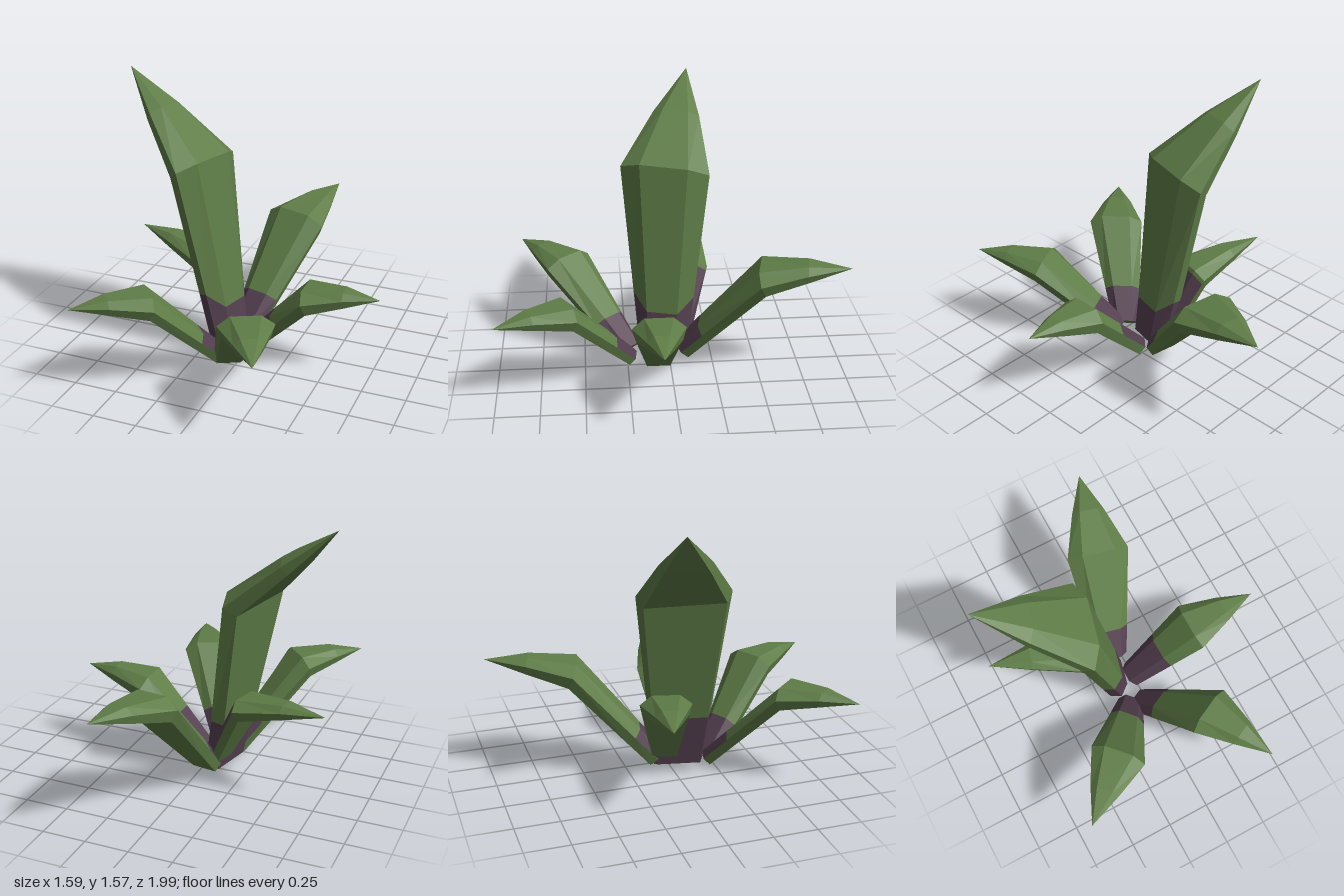
import * as THREE from 'three';

const green = new THREE.MeshStandardMaterial({ color: 0x5f7d47, flatShading: true });
green.name = 'leafGreen';
const purple = new THREE.MeshStandardMaterial({ color: 0x543f50, flatShading: true });
purple.name = 'basePurple';

// Six-sided leaf section: [across in widths, up in thicknesses]; facets 0-2 form the upper side
const SECTION = [[0.5, 0], [0.27, 0.45], [-0.27, 0.45], [-0.5, 0], [-0.43, -0.55], [0.43, -0.55]];

// base, bend and tip are centre points; w and t are widths and thickness;
// stain is how far purple climbs the stem: [middle of upper side, edges]
const LEAVES = [
  { name: 'tallLeaf', base: [-0.1, 0.07, 0.035], bend: [-0.27, 1.115, 0.01], tip: [-0.8, 1.57, -0.16], w: [0.29, 0.52], t: 0.15, roll: 0.08, stain: [0.2, 0.3], allRound: true },
  { name: 'leftLeaf', base: [-0.015, 0.04, 0.07], bend: [0.38, 0.45, 0.09], tip: [0.79, 0.49, 0.09], w: [0.16, 0.3], t: 0.125, roll: 0, stain: [0.53, 0.53] },
  { name: 'frontLeftLeaf', base: [-0.045, 0.055, 0.24], bend: [0.21, 0.485, 0.6], tip: [0.4, 0.49, 0.99], w: [0.16, 0.31], t: 0.11, roll: 0, stain: [0.33, 0.33] },
  { name: 'frontRightLeaf', base: [-0.1, 0.06, 0.235], bend: [-0.375, 0.515, 0.585], tip: [-0.69, 0.53, 0.87], w: [0.16, 0.32], t: 0.11, roll: 0, stain: [0.33, 0.33] },
  { name: 'backLeaf', base: [-0.06, 0.09, -0.08], bend: [0.085, 0.618, -0.525], tip: [0.21, 0.685, -1], w: [0.18, 0.37], t: 0.125, roll: 0.06, stain: [0.27, 0.27] },
  { name: 'rightLeaf', base: [-0.08, 0.07, -0.04], bend: [-0.3, 0.5, -0.1], tip: [-0.79, 0.56, -0.22], w: [0.14, 0.29], t: 0.11, roll: 0, stain: [0.95, 0.95] },
];

const UP = new THREE.Vector3(0, 1, 0);
const pitchOf = (d) => Math.atan2(d.y, Math.hypot(d.x, d.z));

function makeLeaf({ name, base, bend, tip, w, t, roll, stain, allRound }) {
  const [b, m, e] = [base, bend, tip].map((p) => new THREE.Vector3(...p));
  const blade = e.clone().sub(m);
  const forward = new THREE.Vector3(blade.x, 0, blade.z).normalize();
  const level = UP.clone().cross(forward);
  const stemPitch = pitchOf(m.clone().sub(b));
  const bladePitch = pitchOf(blade);

  // One cross-section, standing square to the given pitch
  const ring = (centre, width, thick, pitch) => {
    const along = forward.clone().multiplyScalar(Math.cos(pitch)).addScaledVector(UP, Math.sin(pitch));
    const side = level.clone().applyAxisAngle(along, roll);
    const up = along.clone().cross(side);
    return SECTION.map(([x, y]) => centre.clone().addScaledVector(side, x * width).addScaledVector(up, y * thick));
  };
  const first = ring(b, w[0], t * 0.8, stemPitch);
  const bendRing = ring(m, w[1], t, stemPitch * 0.35 + bladePitch * 0.65);
  const split = first.map((p, i) => p.clone().lerp(bendRing[i], i === 1 || i === 2 ? stain[0] : stain[1]));
  const crest = m.clone().lerp(e, 0.52);
  crest.y += 0.012;
  const rings = [first, split, bendRing, ring(crest, w[1] * 0.53, t * 0.66, bladePitch), SECTION.map(() => e)];

  // Sort the facets by colour
  const points = { green: [], purple: [] };
  for (let r = 0; r < rings.length - 1; r++) {
    for (let i = 0; i < 6; i++) {
      const j = (i + 1) % 6;
      const [p, q, s, u] = [rings[r][i], rings[r][j], rings[r + 1][j], rings[r + 1][i]];
      const list = r === 0 && (i < 3 || allRound) ? points.purple : points.green;
      list.push(p, q, s);
      if (r < rings.length - 2) list.push(p, s, u);
    }
  }
  // Close the foot
  for (let i = 1; i < 5; i++) points.green.push(first[0], first[i + 1], first[i]);

  const leaf = new THREE.Group();
  leaf.name = name;
  for (const [key, material, part] of [['green', green, 'blade'], ['purple', purple, 'stainedBase']]) {
    const geometry = new THREE.BufferGeometry().setFromPoints(points[key]);
    geometry.computeVertexNormals();
    const mesh = new THREE.Mesh(geometry, material);
    mesh.name = part;
    leaf.add(mesh);
  }
  return leaf;
}

export function createModel() {
  const plant = new THREE.Group();
  plant.name = 'plant';
  for (const spec of LEAVES) plant.add(makeLeaf(spec));
  return plant;
}
